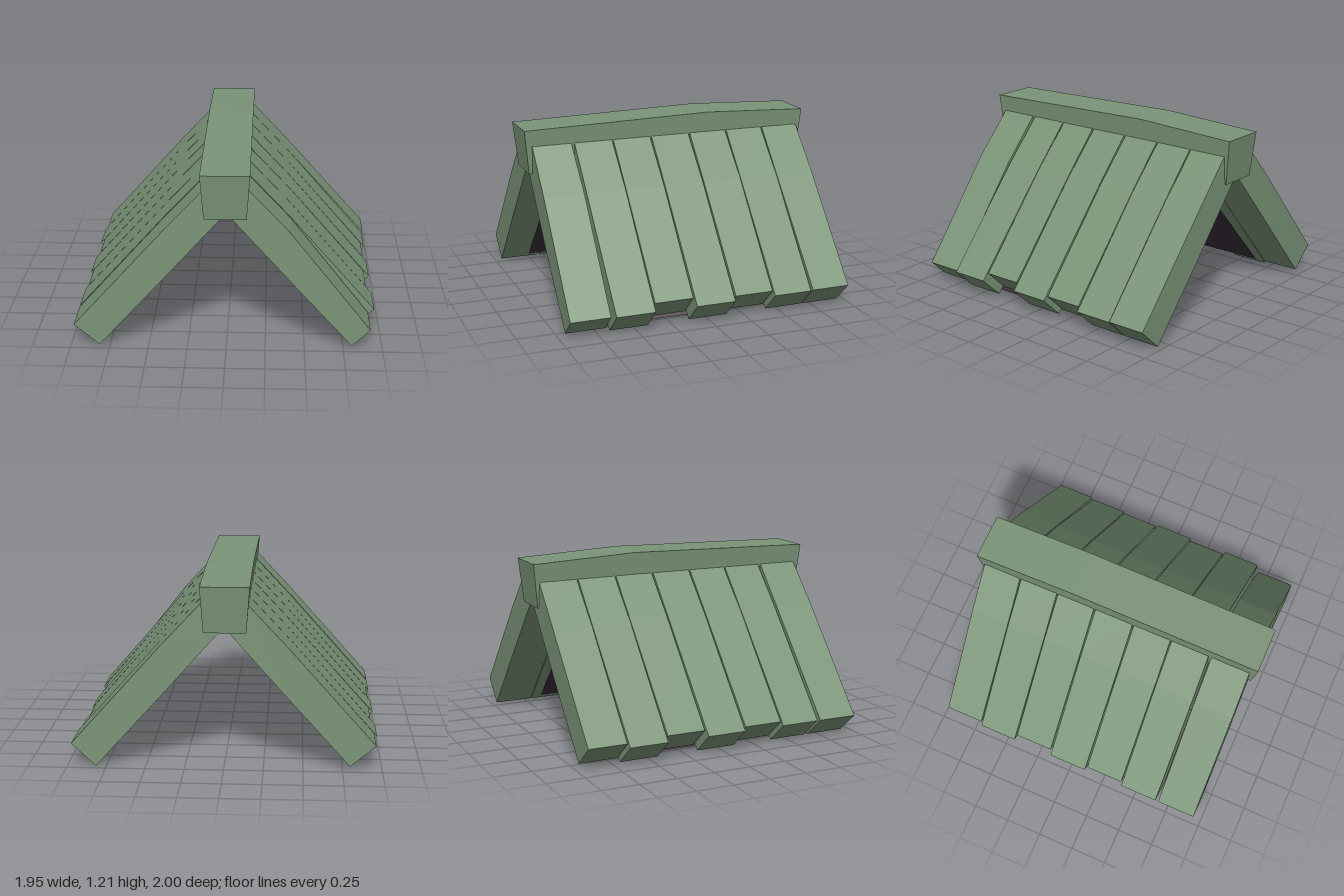
import * as THREE from 'three';

// Solid through four-cornered sections, corners anticlockwise seen from the far end
function loft(sections) {
  const pos = [];
  const quad = (a, b, c, d) => [a, b, c, a, c, d].forEach((p) => pos.push(...p));
  for (let i = 0; i < sections.length - 1; i++) {
    const s = sections[i], t = sections[i + 1];
    for (let j = 0; j < 4; j++) quad(s[j], s[(j + 1) % 4], t[(j + 1) % 4], t[j]);
  }
  const first = sections[0], last = sections[sections.length - 1];
  quad(first[0], first[3], first[2], first[1]);
  quad(...last);
  const g = new THREE.BufferGeometry();
  g.setAttribute('position', new THREE.Float32BufferAttribute(pos, 3));
  g.computeVertexNormals();
  return g;
}

// Roof plank from eave to ridge: trim shortens it, lift moves its outer eave edge
function plank(side, zBack, zFront, trim, lift) {
  const ox = side > 0 ? 0.965 : 0.98;
  const stations = [
    // outer x, y, inner x, y, widening
    [ox - 0.67 * trim + 0.74 * lift, 0.143 + 0.74 * trim + 0.67 * lift,
      0.818 - 0.67 * trim, 0.004 + 0.74 * trim, 0],
    [0.4, 0.795, 0.42, 0.448, 0.003],
    [0.11, 1.105, 0.0, 0.92, 0],
  ];
  const sections = stations.map(([x1, y1, x2, y2, w]) => {
    const c = [
      [side * x1, y1, zFront + w], [side * x1, y1, zBack - w],
      [side * x2, y2, zBack - w], [side * x2, y2, zFront + w],
    ];
    return side > 0 ? c : c.reverse();
  });
  return loft(sections);
}

export function createModel() {
  const model = new THREE.Group();
  model.name = 'plankRoof';
  const green = new THREE.MeshStandardMaterial({ color: 0x7a9477 });
  green.name = 'mossGreen';
  const dark = new THREE.MeshStandardMaterial({ color: 0x392e38, side: THREE.DoubleSide });
  dark.name = 'darkLining';
  const add = (name, geometry, material, parent = model) => {
    const mesh = new THREE.Mesh(geometry, material);
    mesh.name = name;
    parent.add(mesh);
  };

  // Planks: back z, front z, left-screen trim, right-screen trim, right eave lift
  const rows = [
    [-0.96, -0.70, 0.03, 0, 0.012],
    [-0.69, -0.43, 0, 0, 0],
    [-0.42, -0.16, 0.045, 0.035, 0],
    [-0.147, 0.118, 0, 0, 0],
    [0.13, 0.39, 0.03, 0.06, 0],
    [0.40, 0.66, 0, 0, 0],
    [0.682, 0.948, 0, 0.02, -0.04],
  ];
  for (const side of [-1, 1]) {
    const slope = new THREE.Group();
    slope.name = side > 0 ? 'leftSlope' : 'rightSlope';
    model.add(slope);
    rows.forEach(([b, f, trimR, trimL, lift], i) => {
      const g = side > 0 ? plank(1, b, f, trimL, lift) : plank(-1, b, f, trimR, 0);
      add('plank' + (i + 1), g, green, slope);
    });
  }

  // Ridge beam, slightly arched, with undercut ends
  const ridge = [
    // top z, bottom z, top y, bottom y
    [-1, -0.97, 1.18, 0.885],
    [-0.29, -0.29, 1.21, 0.9],
    [1, 0.97, 1.18, 0.885],
  ].map(([zt, zb, yt, yb]) => [
    [-0.14, yb, zb], [0.128, yb, zb], [0.148, yt, zt], [-0.162, yt, zt],
  ]);
  add('ridgeBeam', loft(ridge), green);

  // Dark lining folded under the planks
  const sheet = new THREE.PlaneGeometry(1.58, 1.38, 2, 1).rotateX(-Math.PI / 2);
  const p = sheet.attributes.position;
  for (let i = 0; i < p.count; i++) {
    p.setY(i, 0.865 - 1.06 * Math.abs(p.getX(i)));
    p.setZ(i, p.getZ(i) + 0.06);
  }
  const lining = sheet.toNonIndexed();
  lining.computeVertexNormals();
  add('lining', lining, dark);

  return model;
}
